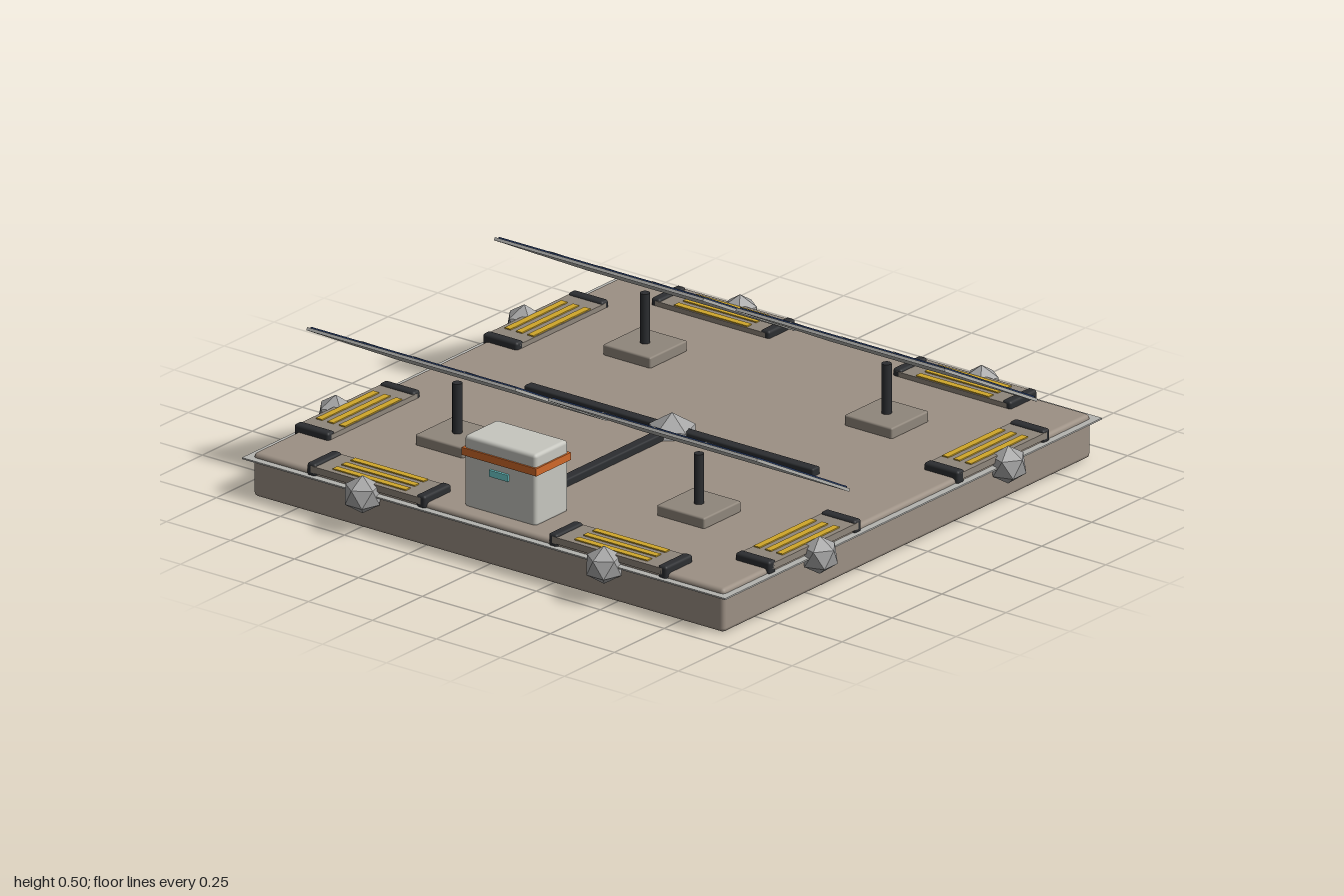
import * as THREE from 'three';
import { RoundedBoxGeometry } from 'three/addons/geometries/RoundedBoxGeometry.js';

const paint = (color, flatShading = false) => new THREE.MeshStandardMaterial({ color, flatShading });
const deckMat = paint(0x9c9084);
const padMat = paint(0x8f867b);
const darkMat = paint(0x2c2e31);
const yellowMat = paint(0xcfa62a);
const frameMat = paint(0xb4b4b0);
const cellMat = paint(0x22365f);
const shellMat = paint(0xc6c6bf);
const orangeMat = paint(0xd0692a);
const screenMat = paint(0x6fd0d0);
const metalMat = paint(0xa6a6a6, true);

function add(parent, name, geometry, material, x = 0, y = 0, z = 0) {
  const mesh = new THREE.Mesh(geometry, material);
  mesh.name = name;
  mesh.position.set(x, y, z);
  parent.add(mesh);
  return mesh;
}
const box = (w, h, d) => new THREE.BoxGeometry(w, h, d);
const rounded = (w, h, d, r) => new RoundedBoxGeometry(w, h, d, 2, r);

// Icosahedron turned so that one vertex points straight up
const knob = (r) => new THREE.IcosahedronGeometry(r, 0).rotateX(-Math.atan((1 + Math.sqrt(5)) / 2));

// Docking pad on the +z edge, with end bars, warning stripes and a faceted knob
function dockingPad() {
  const pad = new THREE.Group();
  pad.name = 'dockingPad';
  add(pad, 'padPlate', box(0.43, 0.022, 0.135), padMat, 0, 0.15, 0.862);
  for (const s of [-1, 1]) {
    add(pad, 'endBar', rounded(0.034, 0.044, 0.135, 0.009), darkMat, s * 0.214, 0.147, 0.862);
  }
  for (const z of [0.81, 0.855, 0.9]) {
    add(pad, 'warningStripe', box(0.285, 0.006, 0.023), yellowMat, 0, 0.162, z);
  }
  add(pad, 'edgeKnob', knob(0.063), metalMat, 0, 0.125, 0.945);
  return pad;
}

// Tilted solar panel on a post with a square foot
function solarUnit() {
  const unit = new THREE.Group();
  unit.name = 'solarUnit';
  add(unit, 'postFoot', rounded(0.186, 0.038, 0.186, 0.006), padMat, 0, 0.161, 0);
  add(unit, 'post', new THREE.CylinderGeometry(0.016, 0.016, 0.18, 12), darkMat, 0, 0.255, 0);

  const panel = new THREE.Group();
  panel.name = 'solarPanel';
  panel.position.y = 0.373;
  panel.rotation.x = -0.49;
  add(panel, 'panelFrame', box(0.816, 0.01, 0.525), frameMat);
  add(panel, 'solarCells', box(0.8, 0.007, 0.511), cellMat, 0, 0.006, 0);
  for (const i of [-1, 0, 1]) {
    add(panel, 'cellDivider', box(0.005, 0.004, 0.515), frameMat, i * 0.201, 0.009, 0);
  }
  unit.add(panel);
  return unit;
}

export function createModel() {
  const model = new THREE.Group();
  model.name = 'solarPlatform';

  // Platform slab with a thin overhanging lip
  add(model, 'deck', rounded(1.84, 0.145, 1.84, 0.014), deckMat, 0, 0.0725, 0);
  add(model, 'deckLip', box(1.888, 0.005, 1.888), frameMat, 0, 0.127, 0);

  // Two docking pads on each of the four sides
  for (let side = 0; side < 4; side++) {
    const edge = new THREE.Group();
    edge.name = 'platformEdge';
    edge.rotation.y = side * Math.PI / 2;
    for (const x of [-0.472, 0.472]) {
      const pad = dockingPad();
      pad.position.x = x;
      edge.add(pad);
    }
    model.add(edge);
  }

  // Four solar panels
  for (const x of [-0.472, 0.472]) {
    for (const z of [-0.47, 0.47]) {
      const unit = solarUnit();
      unit.position.set(x, 0, z);
      model.add(unit);
    }
  }

  // Central hub and cable ducts
  add(model, 'hub', knob(0.084), metalMat, 0, 0.13, 0);
  add(model, 'crossDuct', rounded(1.13, 0.034, 0.036, 0.006), darkMat, 0, 0.153, 0);
  add(model, 'longDuct', rounded(0.036, 0.034, 0.72, 0.006), darkMat, 0, 0.153, 0.36);

  // Control cabinet at the front edge
  const cabinet = new THREE.Group();
  cabinet.name = 'controlCabinet';
  cabinet.position.set(0, 0, 0.78);
  add(cabinet, 'cabinetBody', rounded(0.28, 0.24, 0.164, 0.012), shellMat, 0, 0.259, 0);
  add(cabinet, 'cabinetBand', box(0.292, 0.025, 0.174), orangeMat, 0, 0.325, 0);
  add(cabinet, 'cabinetScreen', box(0.072, 0.022, 0.012), screenMat, 0, 0.279, 0.084);
  model.add(cabinet);

  return model;
}
